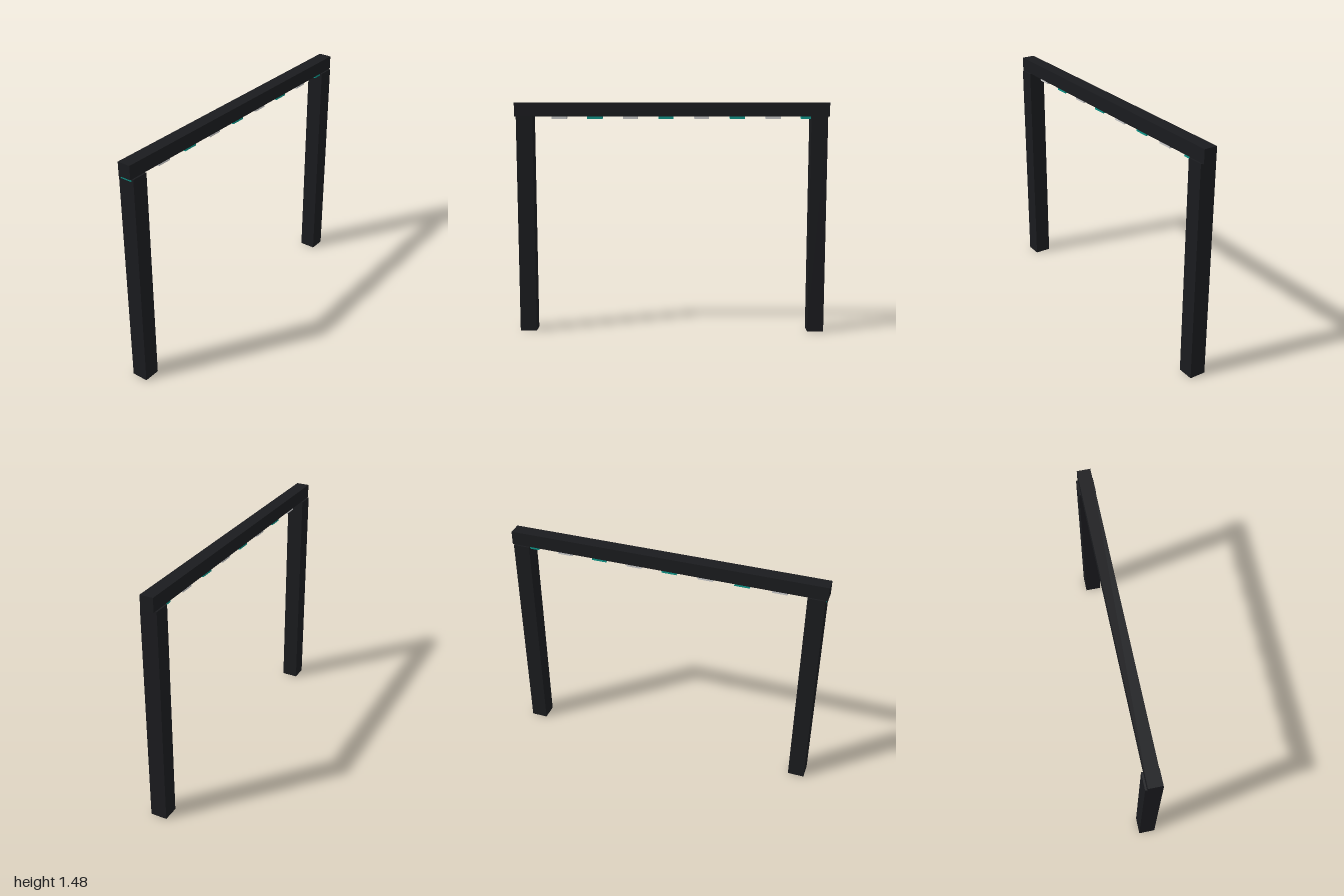
import * as THREE from 'three';

export function createModel() {
  const model = new THREE.Group();
  const dark = new THREE.MeshStandardMaterial({ color: 0x1a1b1e });
  const teal = new THREE.MeshStandardMaterial({ color: 0x0d9488 });
  const grey = new THREE.MeshStandardMaterial({ color: 0xcccccc });

  // Box standing on height y, centred on x = 0
  const addBox = (name, material, width, height, depth, y, z) => {
    const mesh = new THREE.Mesh(new THREE.BoxGeometry(width, height, depth), material);
    mesh.name = name;
    mesh.position.set(0, y + height / 2, z);
    model.add(mesh);
  };

  // Two square posts
  addBox('frontPost', dark, 0.105, 1.393, 0.105, 0, 0.935);
  addBox('backPost', dark, 0.105, 1.393, 0.105, 0, -0.935);

  // Crossbeam resting on the posts
  addBox('crossbeam', dark, 0.084, 0.087, 2, 1.393, 0);

  // Alternating tiles along the underside of the beam
  for (let i = 0; i < 9; i++) {
    addBox(`tile${i + 1}`, i % 2 ? grey : teal, 0.075, 0.018, 0.094, 1.378, 0.943 - i * 0.2267);
  }

  return model;
}
